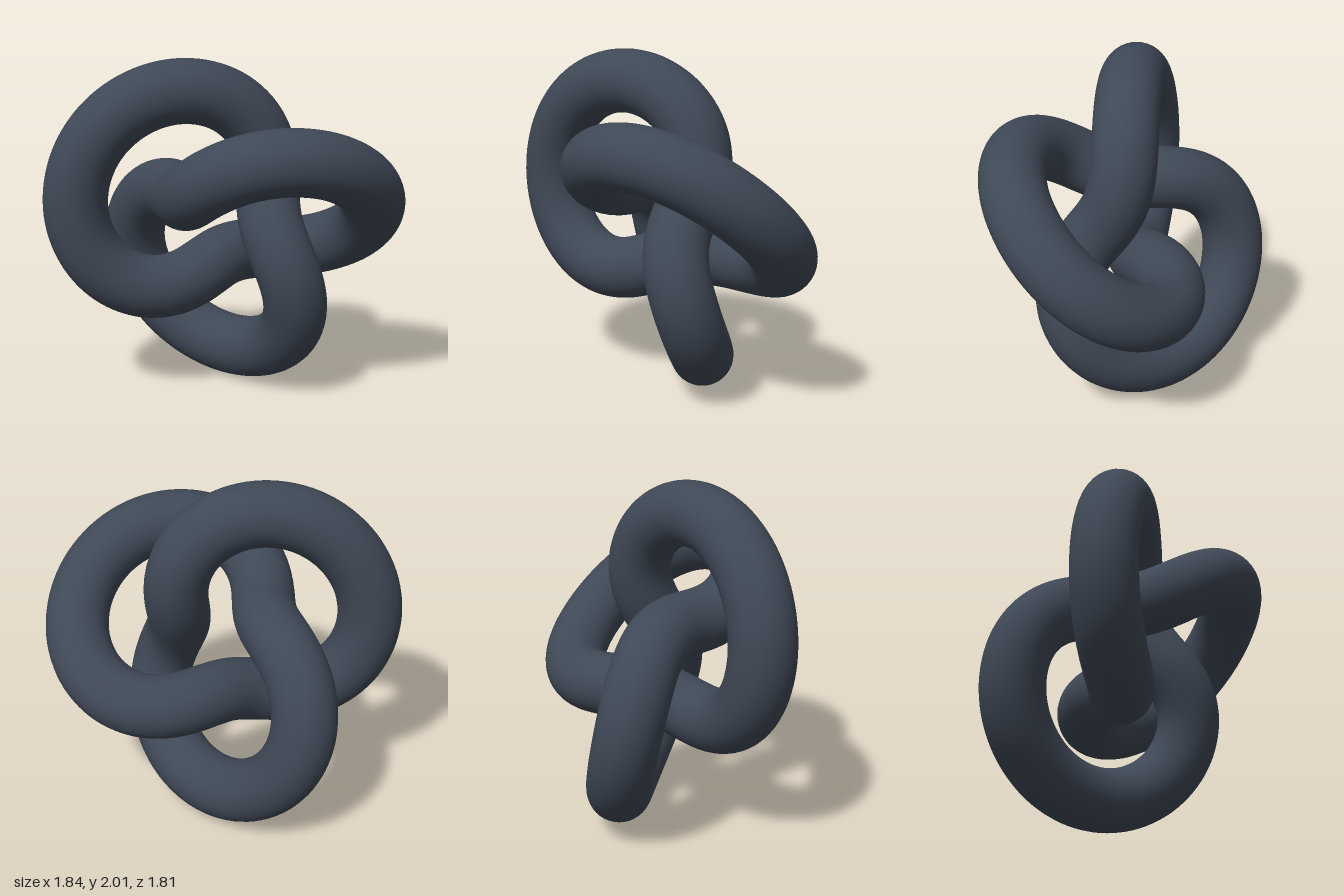
import * as THREE from 'three';

export function createModel() {
  const group = new THREE.Group();
  group.name = 'trefoilKnot';

  // One closed tube, wound twice around and three times through a ring
  const ringRadius = 0.5985;
  const tubeRadius = 0.185;
  const knot = new THREE.Mesh(
    new THREE.TorusKnotGeometry(ringRadius, tubeRadius, 320, 40, 2, 3),
    new THREE.MeshStandardMaterial({ color: 0x3f4856 })
  );
  knot.name = 'knotTube';

  // Tilt the knot's axis, then turn it so one lobe points up and forward
  const axis = new THREE.Vector3(-0.598, 0.395, -0.697);
  knot.position.set(-0.016, 1.027, 0);
  knot.lookAt(knot.position.clone().add(axis));
  knot.rotateZ(THREE.MathUtils.degToRad(41.4));

  group.add(knot);
  return group;
}
